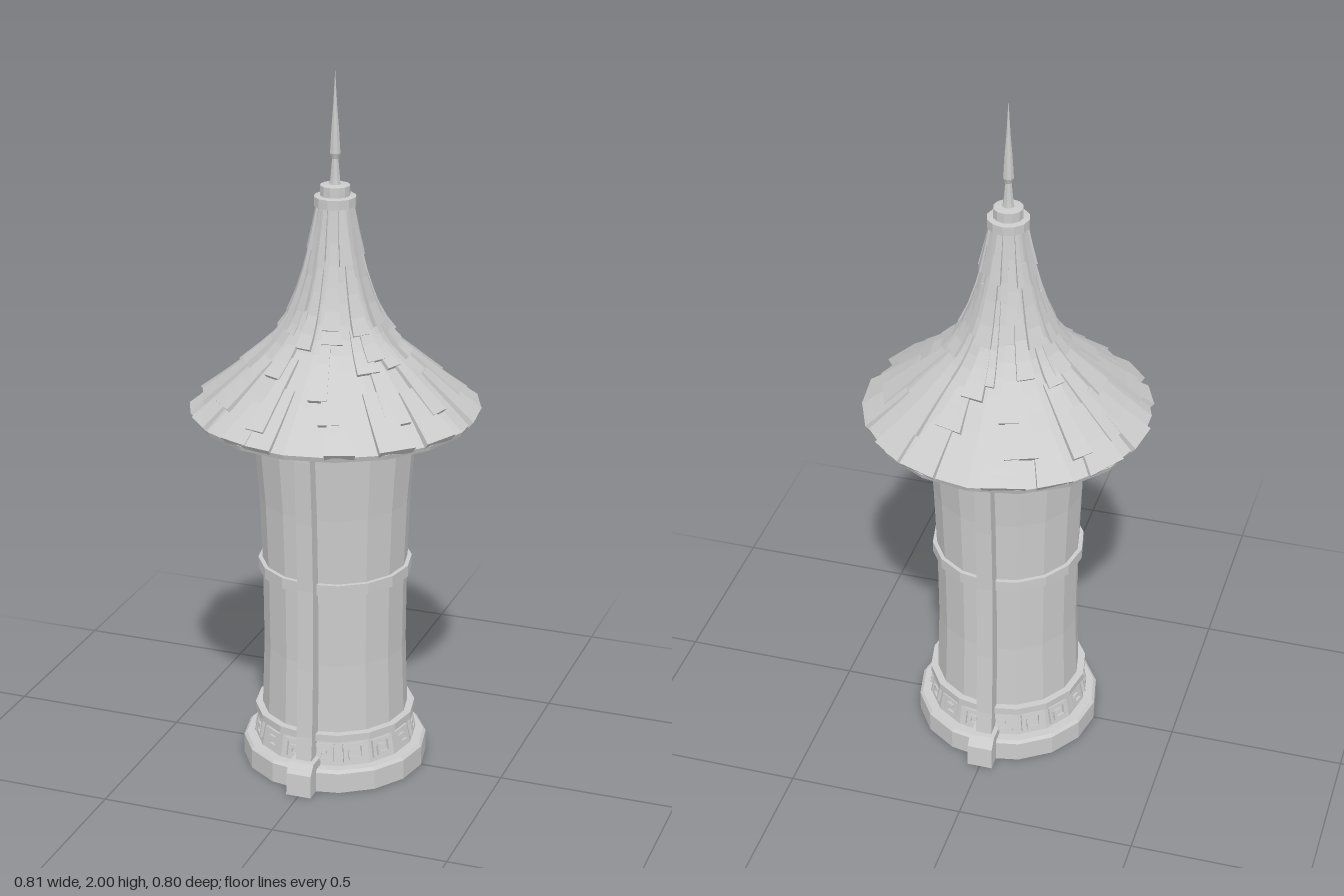
import * as THREE from 'three';

const material = new THREE.MeshStandardMaterial({ color: 0xcccccc, flatShading: true });

// Seeded random numbers for the uneven shingles
function makeRandom(seed) {
  return () => {
    seed = (seed * 16807) % 2147483647;
    return seed / 2147483647;
  };
}

function addMesh(parent, name, geometry) {
  const mesh = new THREE.Mesh(geometry, material);
  mesh.name = name;
  parent.add(mesh);
  return mesh;
}

// Faceted turned part; profile runs upward as [radius, y]
function turned(profile, sides = 16) {
  return new THREE.LatheGeometry(profile.map(([r, y]) => new THREE.Vector2(r, y)), sides);
}

function band(r, y0, y1, inner) {
  return turned([[inner, y0], [r, y0], [r, y1], [inner, y1]]);
}

const roofCurve = new THREE.CatmullRomCurve3(
  [[0.045, 1.65], [0.06, 1.55], [0.083, 1.44], [0.12, 1.33], [0.165, 1.26], [0.235, 1.195], [0.325, 1.115], [0.395, 1.056]]
    .map(([r, y]) => new THREE.Vector3(r, y, 0)));

// Plank following the roof curve from u0 down to u1, lifting towards its lower end
function shingle(angle, width, u0, u1, thickness, skew) {
  const steps = 4, positions = [], index = [];
  for (let i = 0; i <= steps; i++) {
    const t = i / steps, u = u0 + (u1 - u0) * t;
    const p = roofCurve.getPoint(u), d = roofCurve.getTangent(u);
    const half = width * (0.4 + 0.1 * t), mid = angle + skew * t;
    const lift = thickness * (0.35 + 0.65 * t);
    for (const [side, off] of [[-1, lift], [1, lift], [1, -0.009], [-1, -0.009]]) {
      const r = p.x - d.y * off, y = p.y + d.x * off, a = mid + side * half;
      positions.push(r * Math.sin(a), y, r * Math.cos(a));
    }
  }
  for (let i = 0; i < steps; i++) {
    for (let k = 0; k < 4; k++) {
      const a = 4 * i + k, b = 4 * i + (k + 1) % 4;
      index.push(a, a + 4, b + 4, a, b + 4, b);
    }
  }
  const e = 4 * steps;
  index.push(0, 1, 2, 0, 2, 3, e, e + 2, e + 1, e, e + 3, e + 2);
  const geometry = new THREE.BufferGeometry();
  geometry.setAttribute('position', new THREE.Float32BufferAttribute(positions, 3));
  geometry.setIndex(index);
  geometry.computeVertexNormals();
  return geometry;
}

function createRoof() {
  const roof = new THREE.Group();
  roof.name = 'roof';
  // Shell with its underside
  const outer = roofCurve.getPoints(14).reverse().map((p) => [p.x, p.y]);
  addMesh(roof, 'roofShell', turned([[0.19, 1.075], [0.39, 1.042], ...outer], 18));

  // Tiers of shingles: start, end, count, angular width
  const random = makeRandom(77);
  const tiers = [
    [0.0, 0.26, 10, 0.32], [0.12, 0.42, 10, 0.3], [0.28, 0.56, 10, 0.3],
    [0.42, 0.7, 11, 0.26], [0.6, 0.87, 12, 0.23], [0.77, 1.0, 15, 0.24],
  ];
  tiers.forEach(([u0, u1, count, width], tier) => {
    for (let i = 0; i < count; i++) {
      const angle = (i + tier * 0.37 + (random() - 0.5) * 0.6) / count * Math.PI * 2;
      const start = Math.max(0, u0 + (random() - 0.5) * 0.1);
      const end = tier === 5 ? 1 : u1 + (random() - 0.5) * 0.14;
      const geometry = shingle(angle, width * (0.65 + random() * 0.7), start, end,
        0.009 + random() * 0.008, (random() - 0.5) * 0.08);
      addMesh(roof, 'shingle', geometry);
    }
  });
  return roof;
}

// Square spiral ornament made from bars [x, y, width, height]
function createFret() {
  const fret = new THREE.Group();
  fret.name = 'fret';
  const bars = [
    [-0.026, 0, 0.009, 0.052], [0, 0.022, 0.06, 0.009], [0.026, 0.004, 0.009, 0.044],
    [0.008, -0.018, 0.044, 0.009], [-0.01, -0.006, 0.009, 0.024], [0, 0.004, 0.022, 0.009],
  ];
  for (const [x, y, w, h] of bars) {
    addMesh(fret, 'fretBar', new THREE.BoxGeometry(w, h, 0.014)).position.set(x, y, 0);
  }
  return fret;
}

// Upright strip hugging the wall, with foot block and top bracket
function createPilaster() {
  const pilaster = new THREE.Group();
  pilaster.name = 'pilaster';
  const front = [[0.262, 0.06], [0.25, 0.16], [0.241, 0.36], [0.239, 0.6], [0.247, 0.8], [0.262, 1.04]];
  const shape = new THREE.Shape();
  front.forEach(([z, y], i) => (i ? shape.lineTo(z, y) : shape.moveTo(z, y)));
  [...front].reverse().forEach(([z, y]) => shape.lineTo(z - 0.06, y));
  const strip = new THREE.ExtrudeGeometry(shape, { depth: 0.046, bevelEnabled: false });
  strip.translate(0, 0, -0.023).rotateY(-Math.PI / 2);
  addMesh(pilaster, 'strip', strip);

  const foot = new THREE.Shape();
  foot.moveTo(0.2, 0);
  foot.lineTo(0.3, 0);
  foot.lineTo(0.297, 0.065);
  foot.lineTo(0.275, 0.092);
  foot.lineTo(0.2, 0.092);
  const block = new THREE.ExtrudeGeometry(foot, { depth: 0.072, bevelEnabled: false });
  block.translate(0, 0, -0.036).rotateY(-Math.PI / 2);
  addMesh(pilaster, 'footBlock', block);

  addMesh(pilaster, 'topBracket', new THREE.BoxGeometry(0.056, 0.055, 0.08)).position.set(0, 1.02, 0.235);
  return pilaster;
}

export function createModel() {
  const model = new THREE.Group();
  model.name = 'tower';

  // Base slab and wall
  addMesh(model, 'base', turned([[0, 0], [0.262, 0], [0.262, 0.058], [0.254, 0.066], [0.2, 0.066]]));
  addMesh(model, 'wall', turned([
    [0.208, 0.14], [0.201, 0.36], [0.203, 0.58], [0.211, 0.8], [0.227, 1.0], [0.227, 1.08]]));

  // Ornamented frieze above the base
  addMesh(model, 'frieze', turned([[0.229, 0.06], [0.213, 0.142]]));
  for (let i = 0; i < 16; i++) {
    const pivot = new THREE.Group();
    pivot.name = 'friezePanel';
    pivot.rotation.y = (i + 0.5) / 16 * Math.PI * 2;
    const fret = createFret();
    fret.position.set(0, 0.103, 0.218);
    fret.rotation.x = -0.19;
    pivot.add(fret);
    model.add(pivot);
  }

  // Rings around the wall
  addMesh(model, 'lowerRing', band(0.228, 0.14, 0.161, 0.19));
  addMesh(model, 'middleRing', band(0.216, 0.58, 0.612, 0.19));
  addMesh(model, 'upperRing', band(0.241, 1.02, 1.07, 0.2));

  // Pilasters at front and back
  for (const turn of [0, Math.PI]) {
    const pilaster = createPilaster();
    pilaster.rotation.y = turn;
    model.add(pilaster);
  }

  model.add(createRoof());

  // Collar and spire
  addMesh(model, 'collar', turned([
    [0.03, 1.632], [0.058, 1.632], [0.058, 1.658], [0.041, 1.66], [0.041, 1.688], [0, 1.692]], 12));
  addMesh(model, 'spire', turned([
    [0.018, 1.68], [0.014, 1.705], [0.009, 1.76], [0.015, 1.775], [0.011, 1.84], [0.006, 1.9], [0, 2]], 8));

  return model;
}
